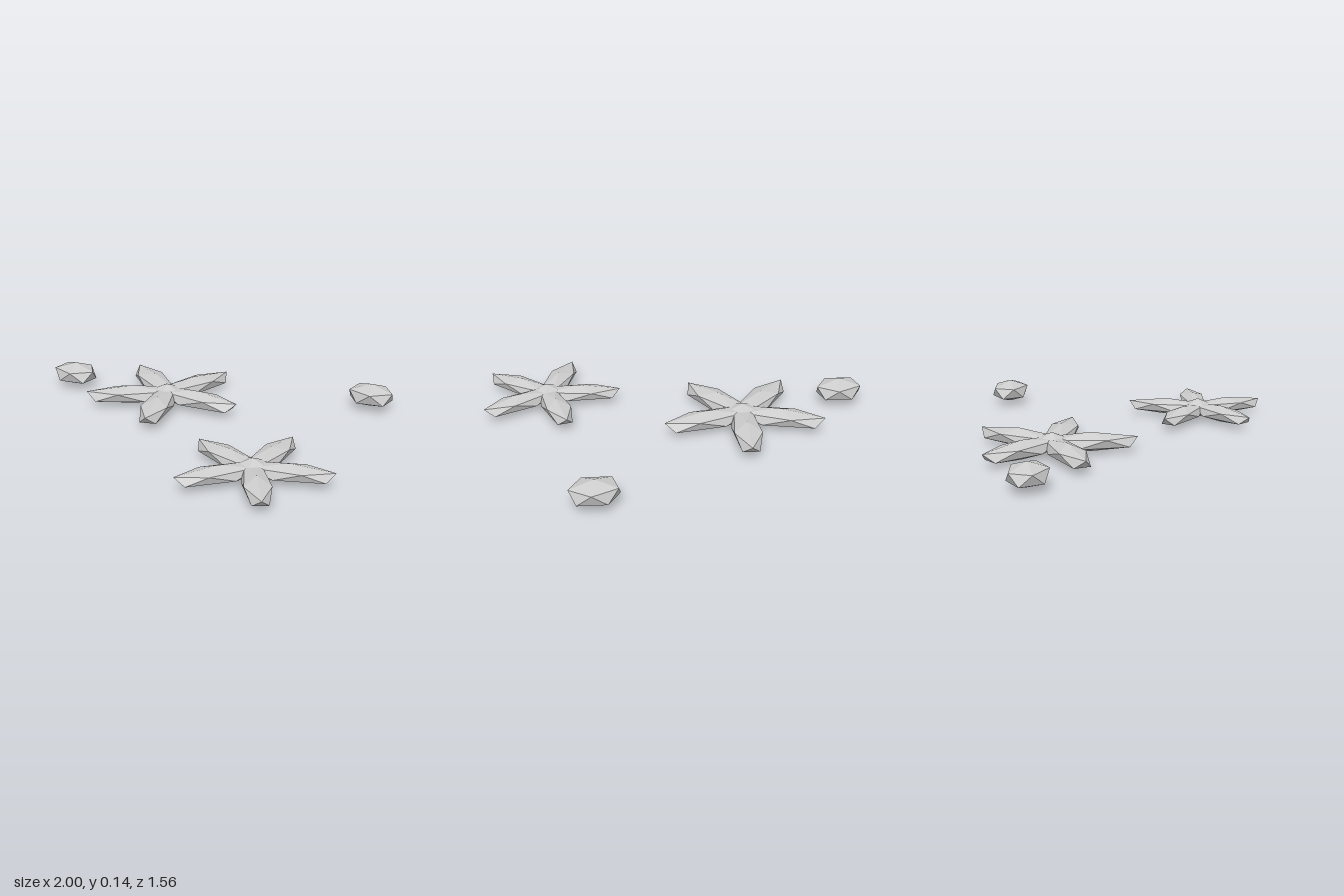
import * as THREE from 'three';

const stone = new THREE.MeshStandardMaterial({ color: 0xcccccc });
stone.name = 'pale grey';

// Faceted ellipsoid: icosahedron standing on a vertex, one upper vertex towards +x
function facetedBlob(name, rx, ry, rz) {
  const geometry = new THREE.IcosahedronGeometry(1, 0);
  geometry.rotateZ(-Math.atan(2 / (1 + Math.sqrt(5))));
  geometry.scale(rx, ry, rz);
  geometry.computeVertexNormals();
  const mesh = new THREE.Mesh(geometry, stone);
  mesh.name = name;
  return mesh;
}

// Five stretched arms around a small central body
function starfish(name, x, z, size, turn) {
  const group = new THREE.Group();
  group.name = name;
  group.position.set(x, 0.054, z);
  const body = facetedBlob('body', 0.09 * size, 0.054, 0.09 * size);
  group.add(body);
  for (let i = 0; i < 5; i++) {
    const arm = new THREE.Group();
    arm.name = 'arm' + (i + 1);
    arm.rotation.y = THREE.MathUtils.degToRad(turn + i * 72);
    const blade = facetedBlob('armBlade', 0.27 * size, 0.05 * size, 0.084 * size);
    blade.position.x = 0.195 * size;
    arm.add(blade);
    group.add(arm);
  }
  return group;
}

function pebble(name, x, z) {
  const mesh = facetedBlob(name, 0.14, 0.0625, 0.111);
  mesh.position.set(x, 0.073, z);
  return mesh;
}

export function createModel() {
  const model = new THREE.Group();
  model.name = 'starfishAndPebbles';
  model.add(
    starfish('largeStarfish', -0.285, -0.12, 1, 3.5),
    starfish('smallStarfish', 0.628, 0.447, 0.9, 20.3),
    pebble('leftPebble', 0.662, -0.69),
    pebble('rightPebble', -0.874, -0.045)
  );
  return model;
}
